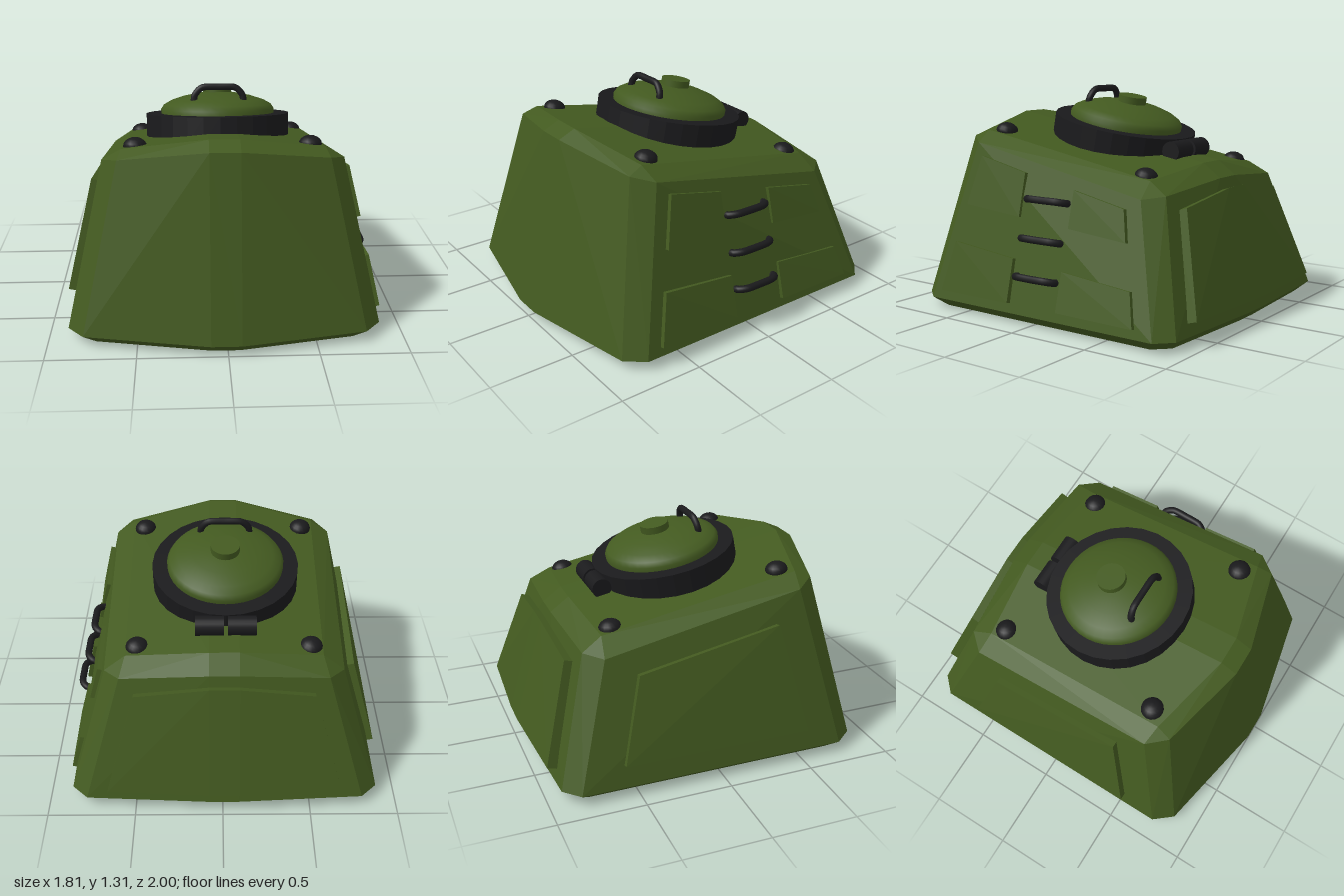
import * as THREE from 'three';
import { ConvexGeometry } from 'three/addons/geometries/ConvexGeometry.js';

const green = new THREE.MeshStandardMaterial({ color: 0x435a20 });
const black = new THREE.MeshStandardMaterial({ color: 0x1a1a1c });
const blackFlat = new THREE.MeshStandardMaterial({ color: 0x1a1a1c, flatShading: true });
const V = (x, y, z) => new THREE.Vector3(x, y, z);

function add(parent, name, geometry, material, x = 0, y = 0, z = 0) {
  const mesh = new THREE.Mesh(geometry, material);
  mesh.name = name;
  mesh.position.set(x, y, z);
  parent.add(mesh);
  return mesh;
}

// Half-width of the sloping side wall at a height and depth
function wallX(y, z) {
  const top = 0.985 - 0.203 * (0.54 - z);
  return 0.88 - 0.205 * (y - 0.06) / (top - 0.06);
}

// Thin plate: the outer outline pushed inward along an offset
function plate(points, inward) {
  return new ConvexGeometry([...points, ...points.map(p => p.clone().add(inward))]);
}

// Plate lying on one side wall, outline as [z, y]
function sidePlate(parent, name, side, lift, outline) {
  const pts = outline.map(([z, y]) => V(side * (wallX(y, z) + lift), y, z));
  add(parent, name, plate(pts, V(-side * 0.07, -0.015, 0)), green);
}

function grip(parent, name, points, radius) {
  const curve = new THREE.CatmullRomCurve3(points, false, 'catmullrom', 0.4);
  add(parent, name, new THREE.TubeGeometry(curve, 32, radius, 10), black);
}

export function createModel() {
  const model = new THREE.Group();
  const body = new THREE.Group();
  body.name = 'turret';
  body.position.x = -0.01;
  model.add(body);

  // Hull: mirrored rings for skirt, lower edge, wall top and roof edge
  const lower = [[0.085, 1], [0.79, 0.855], [0.88, 0.745], [0.88, -0.83], [0.79, -0.92], [0.085, -0.96]];
  const half = [
    ...lower.map(([x, z]) => [x * 0.915, 0, z * 0.93]),
    ...lower.map(([x, z]) => [x, 0.06, z]),
    [0.085, 1.09, 0.78], [0.585, 1.015, 0.65], [0.675, 0.985, 0.54],
    [0.675, 0.75, -0.62], [0.585, 0.765, -0.72], [0.085, 0.81, -0.76],
    [0.085, 1.135, 0.68], [0.565, 1.052, 0.56], [0.555, 0.835, -0.6], [0.085, 0.89, -0.65],
  ];
  const hull = half.flatMap(([x, y, z]) => [V(x, y, z), V(-x, y, z)]);
  add(body, 'hull', new ConvexGeometry(hull), green);

  // Four stowage plates on the left wall
  [
    [[0.475, 0.915], [0.14, 0.84], [0.14, 0.595], [0.54, 0.63]],
    [[-0.21, 0.77], [-0.545, 0.70], [-0.59, 0.53], [-0.21, 0.565]],
    [[0.59, 0.41], [0.14, 0.365], [0.14, 0.12], [0.655, 0.12]],
    [[-0.21, 0.337], [-0.665, 0.295], [-0.715, 0.115], [-0.21, 0.12]],
  ].forEach(q => sidePlate(body, 'leftPlate', 1, 0.03, q));

  // Large plate on the right wall
  sidePlate(body, 'rightPlate', -1, 0.046,
    [[0.38, 0.82], [0.52, 0.195], [-0.58, 0.195], [-0.45, 0.66]]);

  // Bent rear plate
  const rear = [[0.665, 0.145, -0.965], [0.085, 0.145, -0.998], [0.085, 0.76, -0.82], [0.505, 0.70, -0.80]]
    .flatMap(([x, y, z]) => [V(x, y, z), V(-x, y, z)]);
  add(body, 'rearPlate', plate(rear, V(0, -0.025, 0.085)), green);

  // Climbing rungs on the left wall
  for (const y of [0.705, 0.49, 0.28]) {
    const x = wallX(y, -0.03);
    grip(body, 'rung', [
      V(x - 0.03, y - 0.02, 0.105), V(x + 0.03, y - 0.008, 0.105), V(x + 0.062, y, 0.06),
      V(x + 0.065, y, -0.03),
      V(x + 0.062, y, -0.12), V(x + 0.03, y - 0.008, -0.165), V(x - 0.03, y - 0.02, -0.165),
    ], 0.021);
  }

  // Domed roof bolts
  for (const x of [-0.49, 0.49])
    for (const [y, z] of [[1.045, 0.48], [0.845, -0.53]]) {
      const bolt = add(body, 'roofBolt', new THREE.SphereGeometry(0.066, 16, 10), black, x, y, z);
      bolt.scale.y = 0.75;
      bolt.rotation.x = -0.19;
    }

  // Hatch assembly, tilted with the roof
  const hatch = new THREE.Group();
  hatch.name = 'hatch';
  hatch.position.set(-0.01, 0.985, -0.02);
  hatch.rotation.x = -0.194;
  body.add(hatch);
  add(hatch, 'hatchRing', new THREE.CylinderGeometry(0.43, 0.43, 0.15, 28), blackFlat, 0, 0.035, 0);
  const dome = [[0.34, 0.1], [0.342, 0.135], [0.325, 0.162], [0.28, 0.188], [0.2, 0.214], [0.1, 0.233], [0, 0.24]]
    .map(([r, y]) => new THREE.Vector2(r, y));
  add(hatch, 'hatchDome', new THREE.LatheGeometry(dome, 40), green);
  add(hatch, 'hatchKnob', new THREE.CylinderGeometry(0.085, 0.085, 0.07, 24), green, 0, 0.24, -0.02);
  grip(hatch, 'hatchHandle', [
    V(-0.145, 0.17, 0.195), V(-0.14, 0.225, 0.195), V(-0.095, 0.27, 0.195), V(0, 0.273, 0.195),
    V(0.095, 0.27, 0.195), V(0.14, 0.225, 0.195), V(0.145, 0.17, 0.195),
  ], 0.02);
  for (const side of [-1, 1]) {
    const hinge = add(hatch, 'hinge', new THREE.CylinderGeometry(0.057, 0.057, 0.16, 20), black, side * 0.092, 0.053, -0.453);
    hinge.rotation.z = Math.PI / 2;
  }
  return model;
}
